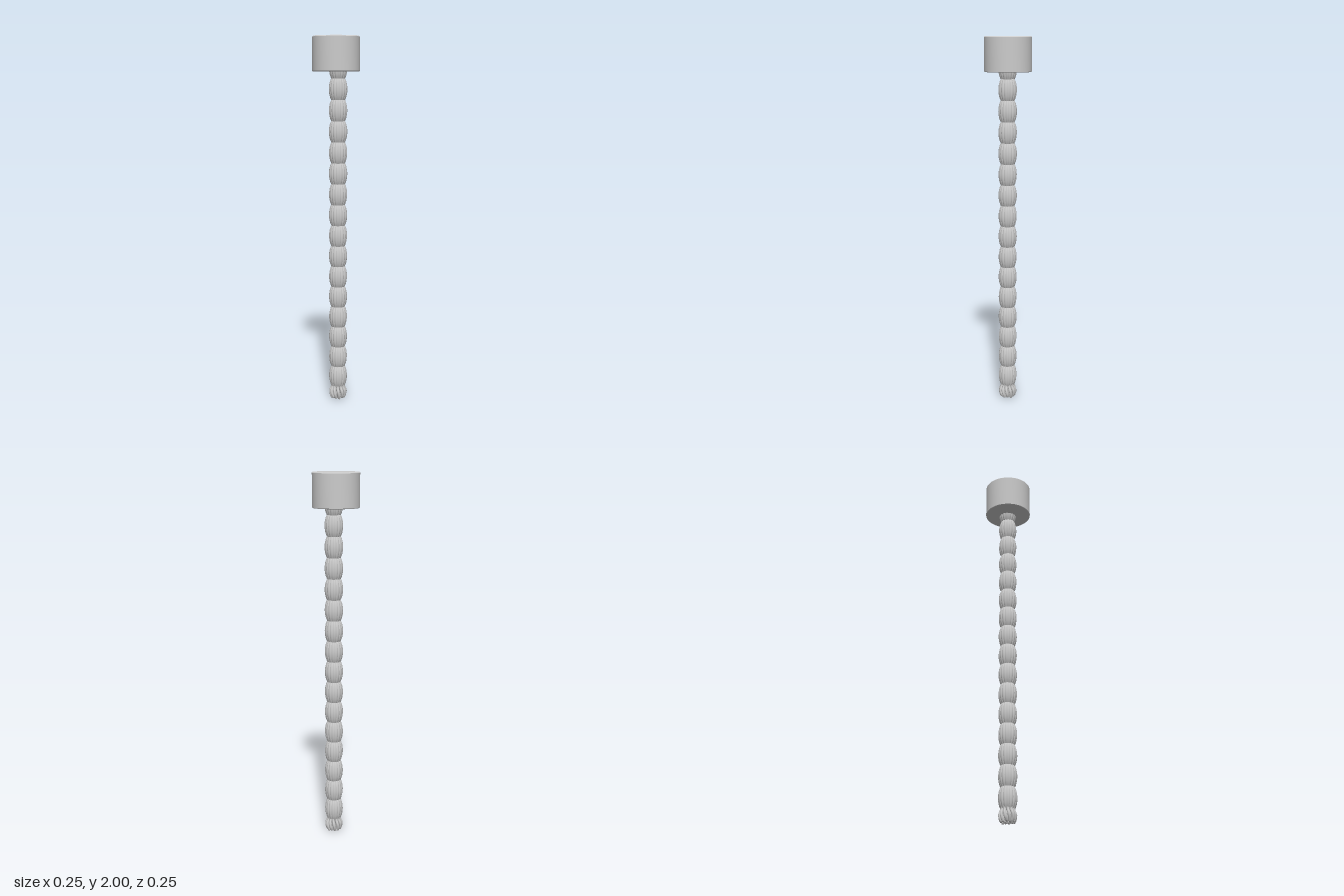
import * as THREE from 'three';
import { mergeGeometries, toCreasedNormals } from 'three/addons/utils/BufferGeometryUtils.js';

const RIBS = 16, BULGES = 16, PITCH = 0.1135, START = 0.0735;

// One rounded rib of one bulge: a plane bent into a barrel-shaped sliver
function rib(bulge, index) {
  const g = new THREE.PlaneGeometry(1, 1, 4, 10);
  const p = g.attributes.position;
  for (let i = 0; i < p.count; i++) {
    const u = p.getX(i) + 0.5, t = p.getY(i) + 0.5;
    const a = ((index + u + (bulge % 2) * 0.5) / RIBS) * Math.PI * 2;
    const barrel = 0.034 + 0.0125 * Math.pow(Math.max(0, Math.sin(Math.PI * t)), 0.75);
    const r = barrel + 0.0035 * Math.sin(Math.PI * u);
    p.setXYZ(i, r * Math.sin(a), START + (bulge + t) * PITCH, r * Math.cos(a));
  }
  g.computeVertexNormals();
  return g;
}

export function createModel() {
  const group = new THREE.Group();
  const material = new THREE.MeshStandardMaterial({ color: 0xcccccc, side: THREE.DoubleSide });
  const add = (geometry, name, parent = group) => {
    const mesh = new THREE.Mesh(geometry, material);
    mesh.name = name;
    parent.add(mesh);
    return mesh;
  };

  // Cylindrical cap with a small bevelled rim
  const profile = [[0, 1.813], [0.124, 1.813], [0.127, 1.816], [0.127, 1.995], [0.122, 2], [0, 2]]
    .map(([x, y]) => new THREE.Vector2(x, y));
  add(toCreasedNormals(new THREE.LatheGeometry(profile, 64), 0.6), 'cap');

  // Plaited cord hanging slightly off the cap's axis
  const cord = new THREE.Group();
  cord.name = 'cord';
  cord.position.set(0.007, 0, 0.009);
  group.add(cord);
  for (let b = 0; b < BULGES; b++) {
    const ribs = [];
    for (let i = 0; i < RIBS; i++) ribs.push(rib(b, i));
    add(mergeGeometries(ribs), 'cordBulge', cord);
  }

  // Frayed end: outer strands flare out and tuck in, inner strands fill the middle
  const strands = [];
  const ring = (count, scale, thick) => {
    for (let i = 0; i < count; i++) {
      const a = (i / count) * Math.PI * 2;
      const end = thick + 0.005 * (0.5 + 0.5 * Math.sin(i * 2.4));
      const path = [[0.03, 0.09, 0], [0.032, 0.068, 0.05], [0.041, 0.045, 0.15], [0.04, 0.025, 0.25], [0.034, end, 0.3]]
        .map(([r, y, turn]) => new THREE.Vector3(r * scale * Math.sin(a + turn), y, r * scale * Math.cos(a + turn)));
      strands.push(new THREE.TubeGeometry(new THREE.CatmullRomCurve3(path), 12, thick, 8));
      const tip = path[path.length - 1];
      strands.push(new THREE.SphereGeometry(thick, 8, 6).translate(tip.x, tip.y, tip.z));
    }
  };
  ring(12, 1, 0.008);
  ring(6, 0.5, 0.008);
  add(mergeGeometries(strands), 'frayedEnd', cord);

  return group;
}
